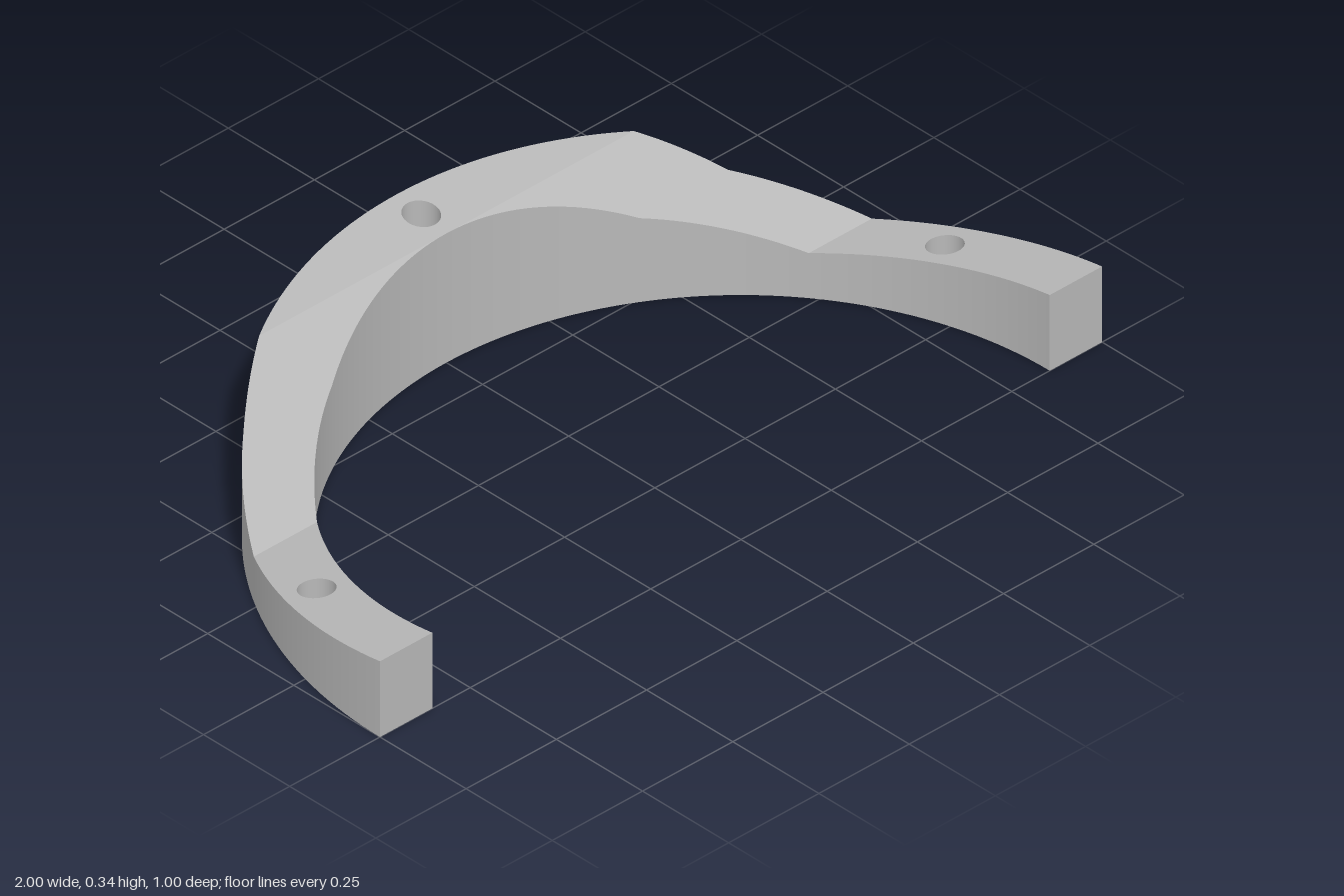
import * as THREE from 'three';

const R_OUT = 1, R_IN = 0.855, CZ = 0.5, HOLE_R = 0.04, HOLE_DEPTH = 0.06;
// Height of the top surface along z, front to back
const PROFILE = [[0.5, 0.185], [-0.017, 0.11], [-0.241, 0.205], [-0.355, 0.316], [-0.5, 0.338]];

function topHeight(z) {
  let i = 0;
  while (i < PROFILE.length - 2 && z < PROFILE[i + 1][0]) i++;
  const [z0, y0] = PROFILE[i], [z1, y1] = PROFILE[i + 1];
  return y0 + (y1 - y0) * (z - z0) / (z1 - z0);
}

// Angle on a circle of radius r at which it reaches depth z
const angleAt = (r, z) => Math.asin(Math.min(1, (CZ - z) / r));

// Points [x, z] along an arc
function arc(r, a0, a1, n = 20) {
  return Array.from({ length: n + 1 }, (_, i) => {
    const a = a0 + (a1 - a0) * i / n;
    return [r * Math.cos(a), CZ - r * Math.sin(a)];
  });
}

export function createModel() {
  const group = new THREE.Group();
  const grey = new THREE.MeshStandardMaterial({ color: 0xb8b8b8 });
  grey.name = 'grey';
  const add = (geometry, name) => {
    const mesh = new THREE.Mesh(geometry, grey);
    mesh.name = name;
    group.add(mesh);
    return mesh;
  };
  const holes = [[0.87, 0.18], [-0.87, 0.18], [0, -0.428]];

  // Planar top facet, lifted to the sloping profile
  function addTop(points, name, hole) {
    const shape = new THREE.Shape(points.map(([x, z]) => new THREE.Vector2(x, -z)));
    if (hole) shape.holes.push(new THREE.Path().absarc(hole[0], -hole[1], HOLE_R, 0, Math.PI * 2, true));
    const geo = new THREE.ShapeGeometry(shape, 16).rotateX(-Math.PI / 2);
    const p = geo.attributes.position;
    for (let i = 0; i < p.count; i++) p.setY(i, topHeight(p.getZ(i)));
    geo.computeVertexNormals();
    add(geo, name);
  }
  const facetNames = ['armTop', 'lowerRamp', 'upperRamp'];
  facetNames.forEach((name, i) => {
    const za = PROFILE[i][0], zb = PROFILE[i + 1][0];
    const points = [
      ...arc(R_OUT, angleAt(R_OUT, za), angleAt(R_OUT, zb)),
      ...arc(R_IN, angleAt(R_IN, zb), angleAt(R_IN, za)),
    ];
    addTop(points, name + 'Left', i === 0 && holes[0]);
    addTop(points.map(([x, z]) => [-x, z]), name + 'Right', i === 0 && holes[1]);
  });
  const backAngle = angleAt(R_OUT, PROFILE[3][0]);
  addTop(arc(R_OUT, backAngle, Math.PI - backAngle, 40), 'backTop', holes[2]);

  // Curved walls with smooth radial normals; side is 1 outside, -1 inside
  function addWall(r, side, name) {
    const half = [];
    for (let i = 0; i < 4; i++) {
      const a0 = angleAt(r, PROFILE[i][0]), a1 = angleAt(r, PROFILE[i + 1][0]);
      if (a1 - a0 > 1e-5) half.push(...arc(r, a0, a1).slice(i ? 1 : 0));
    }
    const path = [...half, ...half.slice(0, -1).reverse().map(([x, z]) => [-x, z])];
    const pos = [], nor = [], idx = [];
    path.forEach(([x, z], i) => {
      pos.push(x, 0, z, x, topHeight(z), z);
      for (let k = 0; k < 2; k++) nor.push(side * x / r, 0, side * (z - CZ) / r);
      if (!i) return;
      const a = 2 * i - 2, b = a + 1, c = a + 2, d = a + 3;
      idx.push(...(side > 0 ? [a, c, b, b, c, d] : [a, b, c, b, d, c]));
    });
    const geo = new THREE.BufferGeometry();
    geo.setAttribute('position', new THREE.Float32BufferAttribute(pos, 3));
    geo.setAttribute('normal', new THREE.Float32BufferAttribute(nor, 3));
    geo.setIndex(idx);
    add(geo, name);
  }
  addWall(R_OUT, 1, 'outerWall');
  addWall(R_IN, -1, 'innerWall');

  // Flat underside
  const base = [...arc(R_OUT, 0, Math.PI, 100), ...arc(R_IN, Math.PI, 0, 100)];
  const baseShape = new THREE.Shape(base.map(([x, z]) => new THREE.Vector2(x, z)));
  add(new THREE.ShapeGeometry(baseShape).rotateX(Math.PI / 2), 'underside');

  // Square ends of the two arms
  for (const s of [1, -1]) {
    const end = add(new THREE.PlaneGeometry(R_OUT - R_IN, PROFILE[0][1]), s > 0 ? 'endLeft' : 'endRight');
    end.position.set(s * (R_OUT + R_IN) / 2, PROFILE[0][1] / 2, CZ);
  }

  // Blind holes: an inward-facing wall and a floor
  for (const [x, z] of holes) {
    const floorY = topHeight(z) - HOLE_DEPTH;
    const wall = new THREE.CylinderGeometry(HOLE_R, HOLE_R, 1, 32, 1, true);
    wall.scale(-1, 1, 1).translate(x, 0, z);
    const p = wall.attributes.position, n = wall.attributes.normal;
    for (let i = 0; i < p.count; i++) {
      p.setY(i, p.getY(i) > 0 ? topHeight(p.getZ(i)) : floorY);
      n.setXYZ(i, (x - p.getX(i)) / HOLE_R, 0, (z - p.getZ(i)) / HOLE_R);
    }
    add(wall, 'holeWall');
    add(new THREE.CircleGeometry(HOLE_R, 32).rotateX(-Math.PI / 2), 'holeFloor').position.set(x, floorY, z);
  }
  return group;
}
